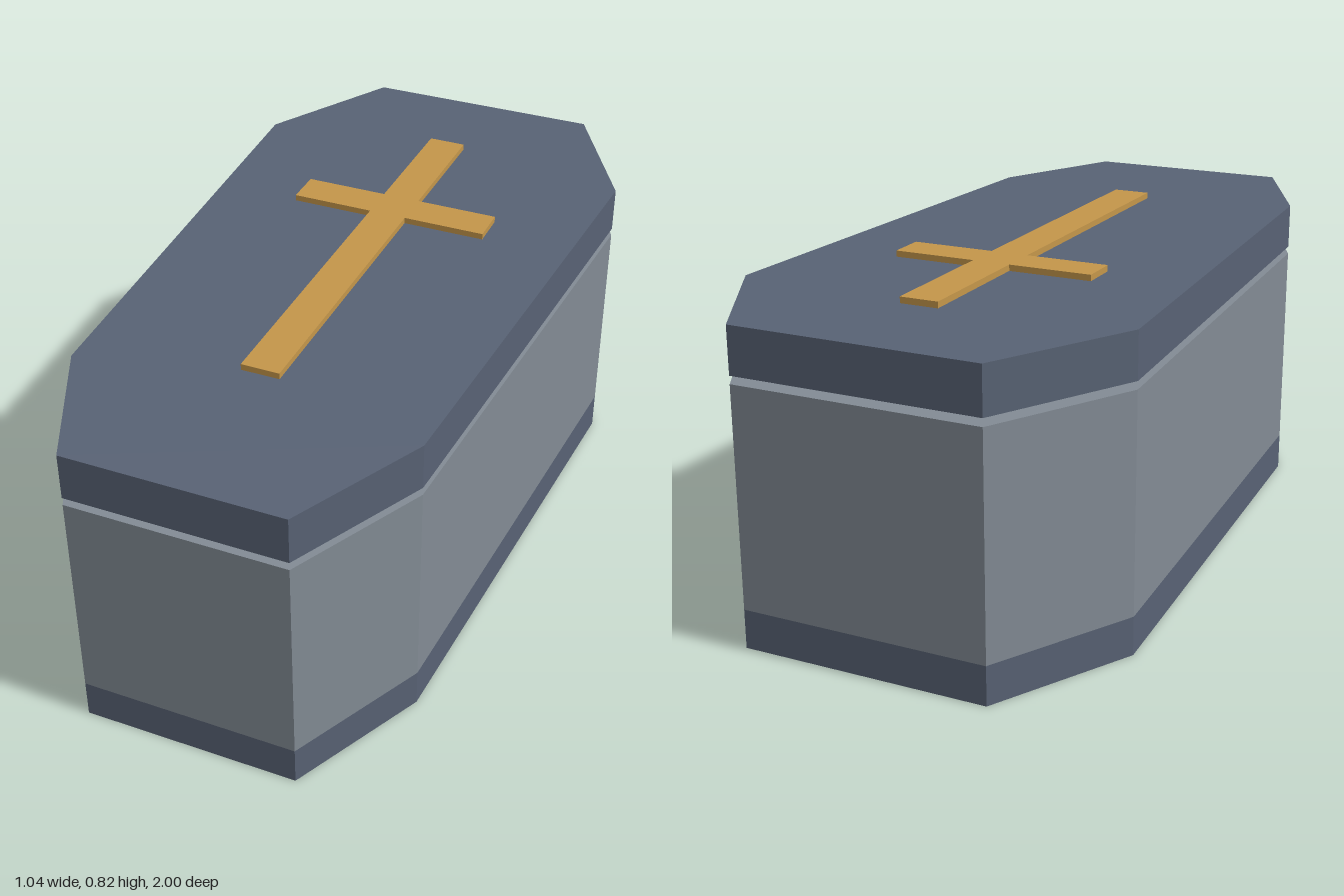
import * as THREE from 'three';

// Half outline (x, z) from head to foot; mirrored to the other side
const coffinHalf = [[0.32, -1], [0.52, -0.64], [0.45, 0.65], [0.28, 1]];
const crossHalf = [
  [0.05, -0.7], [0.05, -0.34], [0.27, -0.34],
  [0.27, -0.24], [0.05, -0.24], [0.05, 0.55],
];

// Upright prism between two heights, from a mirrored half outline
function prism(name, half, bottom, top, color) {
  const mirrored = half.map(([x, z]) => [-x, z]).reverse();
  const outline = [...half, ...mirrored].map(([x, z]) => new THREE.Vector2(x, z));
  const geometry = new THREE.ExtrudeGeometry(new THREE.Shape(outline), {
    depth: top - bottom,
    bevelEnabled: false,
  });
  geometry.rotateX(Math.PI / 2).translate(0, top, 0);
  const material = new THREE.MeshStandardMaterial({ color, flatShading: true });
  const mesh = new THREE.Mesh(geometry, material);
  mesh.name = name;
  return mesh;
}

export function createModel() {
  const group = new THREE.Group();
  group.name = 'coffin';
  const slate = 0x586274;
  group.add(
    prism('baseBand', coffinHalf, 0, 0.1, slate),
    prism('body', coffinHalf, 0.1, 0.66, 0x828b94),
    // The lid sits just clear of the body
    prism('lid', coffinHalf, 0.68, 0.8, slate),
    prism('cross', crossHalf, 0.804, 0.82, 0xc4964a),
  );
  return group;
}
